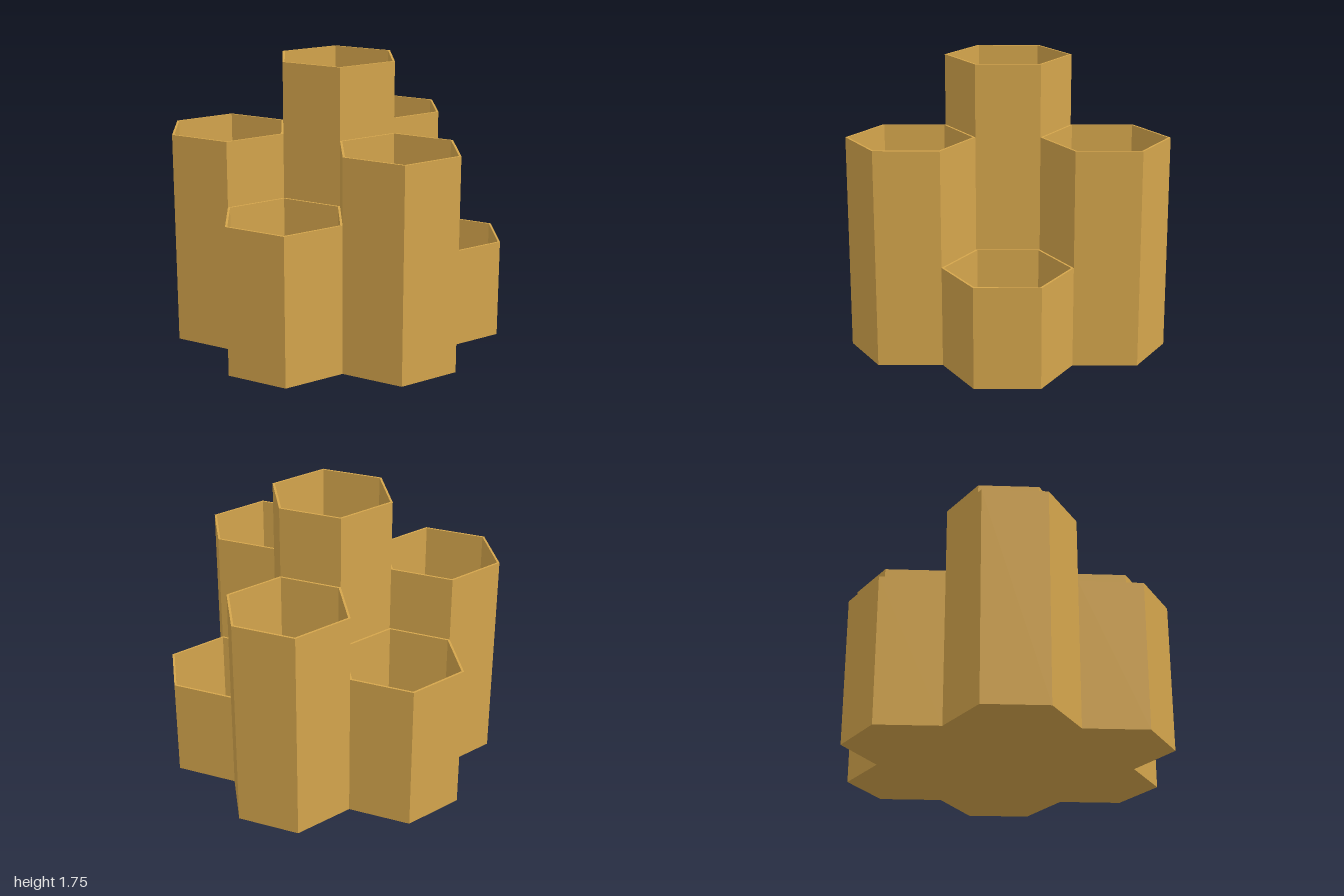
import * as THREE from 'three';

const APOTHEM = 1 / 3;                       // half the flat-to-flat width of a cell
const RADIUS = APOTHEM / Math.cos(Math.PI / 6);
const ROW = RADIUS * 1.5;                    // spacing between rows of cells
const WALL = 0.013;
const FLOOR = 0.015;

// Hollow hexagonal cup with a closed bottom, corners pointing along z
function hexCup(height) {
  const inner = RADIUS - WALL / Math.cos(Math.PI / 6);
  const profile = [
    [0, 0], [RADIUS, 0], [RADIUS, height],
    [inner, height], [inner, FLOOR], [0, FLOOR],
  ].map(([x, y]) => new THREE.Vector2(x, y));
  return new THREE.LatheGeometry(profile, 6);
}

export function createModel() {
  const group = new THREE.Group();
  group.name = 'hexOrganizer';

  const ochre = new THREE.MeshStandardMaterial({ color: 0xd4a54c, flatShading: true });
  ochre.name = 'ochre';

  // name, x, z, height
  const cells = [
    ['centreCell', 0, 0, 1.75],
    ['rightCell', -2 * APOTHEM, 0, 1.313],
    ['leftCell', 2 * APOTHEM, 0, 0.613],
    ['frontRightCell', -APOTHEM, ROW, 0.913],
    ['frontLeftCell', APOTHEM, ROW, 1.313],
    ['backRightCell', -APOTHEM, -ROW, 0.913],
    ['backLeftCell', APOTHEM, -ROW, 1.313],
  ];
  for (const [name, x, z, height] of cells) {
    const cell = new THREE.Mesh(hexCup(height), ochre);
    cell.name = name;
    cell.position.set(x, 0, z);
    group.add(cell);
  }
  return group;
}
